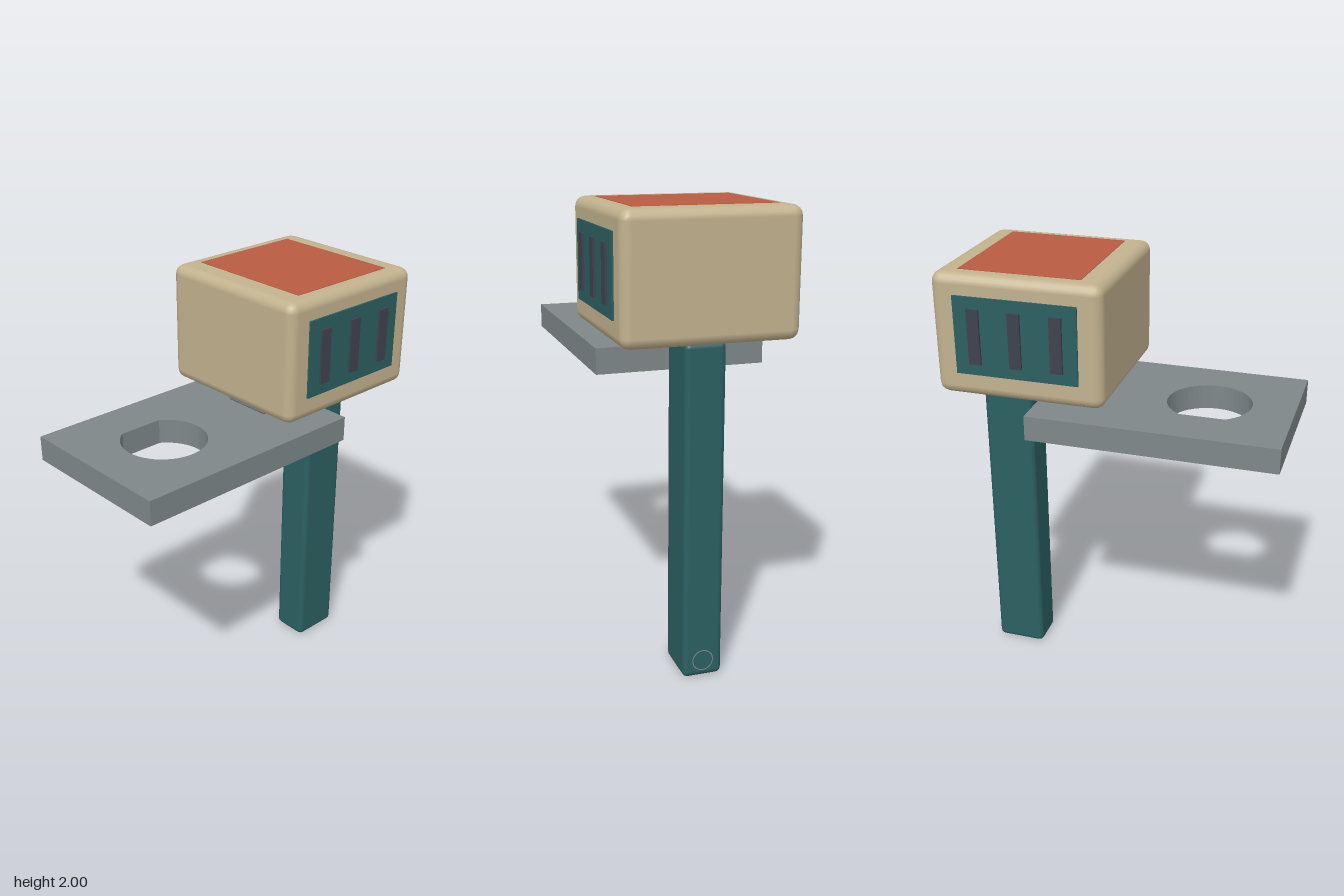
import * as THREE from 'three';
import { RoundedBoxGeometry } from 'three/addons/geometries/RoundedBoxGeometry.js';

function mat(name, color) {
  const m = new THREE.MeshStandardMaterial({ color });
  m.name = name;
  return m;
}

export function createModel() {
  const model = new THREE.Group();
  const tan = mat('tan', 0xc2b28e);
  const red = mat('brick red', 0xb85c42);
  const teal = mat('dark teal', 0x2b6061);
  const grey = mat('grey metal', 0x7e8789);
  const dark = mat('dark slate', 0x3f424e);

  function add(name, geometry, material, x = 0, y = 0, z = 0) {
    const mesh = new THREE.Mesh(geometry, material);
    mesh.name = name;
    mesh.position.set(x, y, z);
    model.add(mesh);
    return mesh;
  }
  // Box given by its min and max corners, optionally with rounded edges
  function box(name, material, [x0, y0, z0], [x1, y1, z1], radius = 0) {
    const size = [x1 - x0, y1 - y0, z1 - z0];
    const geo = radius ? new RoundedBoxGeometry(...size, 2, radius) : new THREE.BoxGeometry(...size);
    return add(name, geo, material, (x0 + x1) / 2, (y0 + y1) / 2, (z0 + z1) / 2);
  }

  // Head block with a thin top panel
  box('head', tan, [-0.372, 1.465, -0.745], [0.372, 1.998, 0], 0.045);
  box('topPanel', red, [-0.3, 1.994, -0.645], [0.3, 2.0, -0.108]);

  // Side panels, each with three raised vent bars
  for (const s of [-1, 1]) {
    const side = s < 0 ? 'right' : 'left';
    add(side + 'SidePanel', new THREE.BoxGeometry(0.009, 0.34, 0.54), teal, s * 0.3755, 1.74, -0.373);
    for (const z of [-0.193, -0.373, -0.553]) {
      add(side + 'Vent', new THREE.BoxGeometry(0.02, 0.24, 0.053), dark, s * 0.38, 1.74, z);
    }
  }

  // Neck block, handle and the ring set into its lower back
  box('neck', grey, [-0.117, 1.4, -0.34], [0.117, 1.47, -0.103], 0.014);
  box('handle', teal, [-0.087, 0, -0.665], [0.087, 1.465, -0.433], 0.024);
  add('handleRing', new THREE.TorusGeometry(0.045, 0.01, 8, 24), grey, 0, 0.075, -0.656);

  // Base plate, drawn flat with y as -z, pierced by a D-shaped hole
  const plate = new THREE.Shape();
  plate.moveTo(-0.372, -0.745).lineTo(0.372, -0.745).lineTo(0.372, 0.355).lineTo(-0.372, 0.355).closePath();
  const hole = new THREE.Path();
  const flat = Math.acos(-0.158 / 0.187);
  hole.absarc(0, -0.37, 0.187, flat, -flat, true);
  hole.closePath();
  plate.holes.push(hole);
  const plateGeo = new THREE.ExtrudeGeometry(plate, { depth: 0.112, bevelEnabled: false, curveSegments: 20 });
  plateGeo.rotateX(-Math.PI / 2);
  add('plate', plateGeo, grey, 0, 1.29, 0);

  return model;
}
